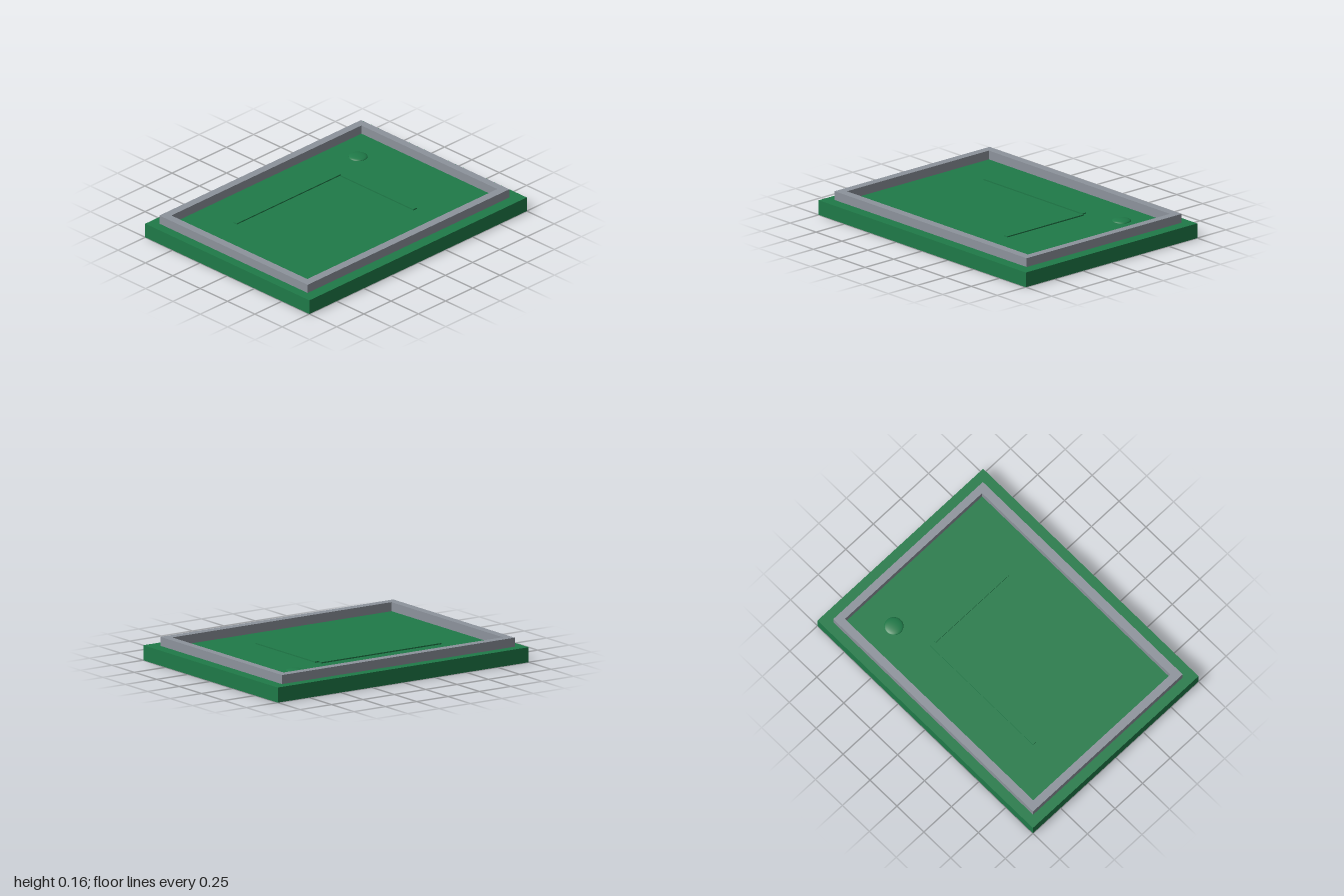
import * as THREE from 'three';

const green = new THREE.MeshStandardMaterial({ color: 0x1f7a48 });
const grey = new THREE.MeshStandardMaterial({ color: 0x8d939c });

// Box given by its limits on each axis
function block(name, material, [x0, x1], [y0, y1], [z0, z1]) {
  const mesh = new THREE.Mesh(new THREE.BoxGeometry(x1 - x0, y1 - y0, z1 - z0), material);
  mesh.position.set((x0 + x1) / 2, (y0 + y1) / 2, (z0 + z1) / 2);
  mesh.name = name;
  return mesh;
}

// Rectangle corners in the ground plane (shape y = -z)
function rectangle(x0, x1, z0, z1) {
  return [[x0, -z1], [x1, -z1], [x1, -z0], [x0, -z0]].map(([x, y]) => new THREE.Vector2(x, y));
}

export function createModel() {
  const model = new THREE.Group();
  model.name = 'framedPanel';

  // Base slab
  model.add(block('baseSlab', green, [-0.75, 0.75], [0, 0.1], [-1, 1]));

  // Raised rectangular frame, slightly off centre
  const outline = new THREE.Shape(rectangle(-0.685, 0.67, -0.92, 0.935));
  outline.holes.push(new THREE.Path(rectangle(-0.63, 0.612, -0.868, 0.88)));
  const frameGeometry = new THREE.ExtrudeGeometry(outline, { depth: 0.06, bevelEnabled: false });
  frameGeometry.rotateX(-Math.PI / 2);
  const frame = new THREE.Mesh(frameGeometry, grey);
  frame.position.y = 0.1;
  frame.name = 'borderFrame';
  model.add(frame);

  // Two thin raised strips meeting at a corner
  model.add(block('crossStrip', green, [-0.31, 0.355], [0.09, 0.108], [-0.387, -0.355]));
  model.add(block('longStrip', green, [-0.35, -0.32], [0.09, 0.108], [-0.367, 0.59]));

  // Shallow round button
  const button = new THREE.Mesh(
    new THREE.SphereGeometry(0.063, 32, 8, 0, Math.PI * 2, 0, Math.PI / 2), green);
  button.scale.y = 0.25;
  button.position.set(-0.423, 0.1, -0.627);
  button.name = 'roundButton';
  model.add(button);

  return model;
}
